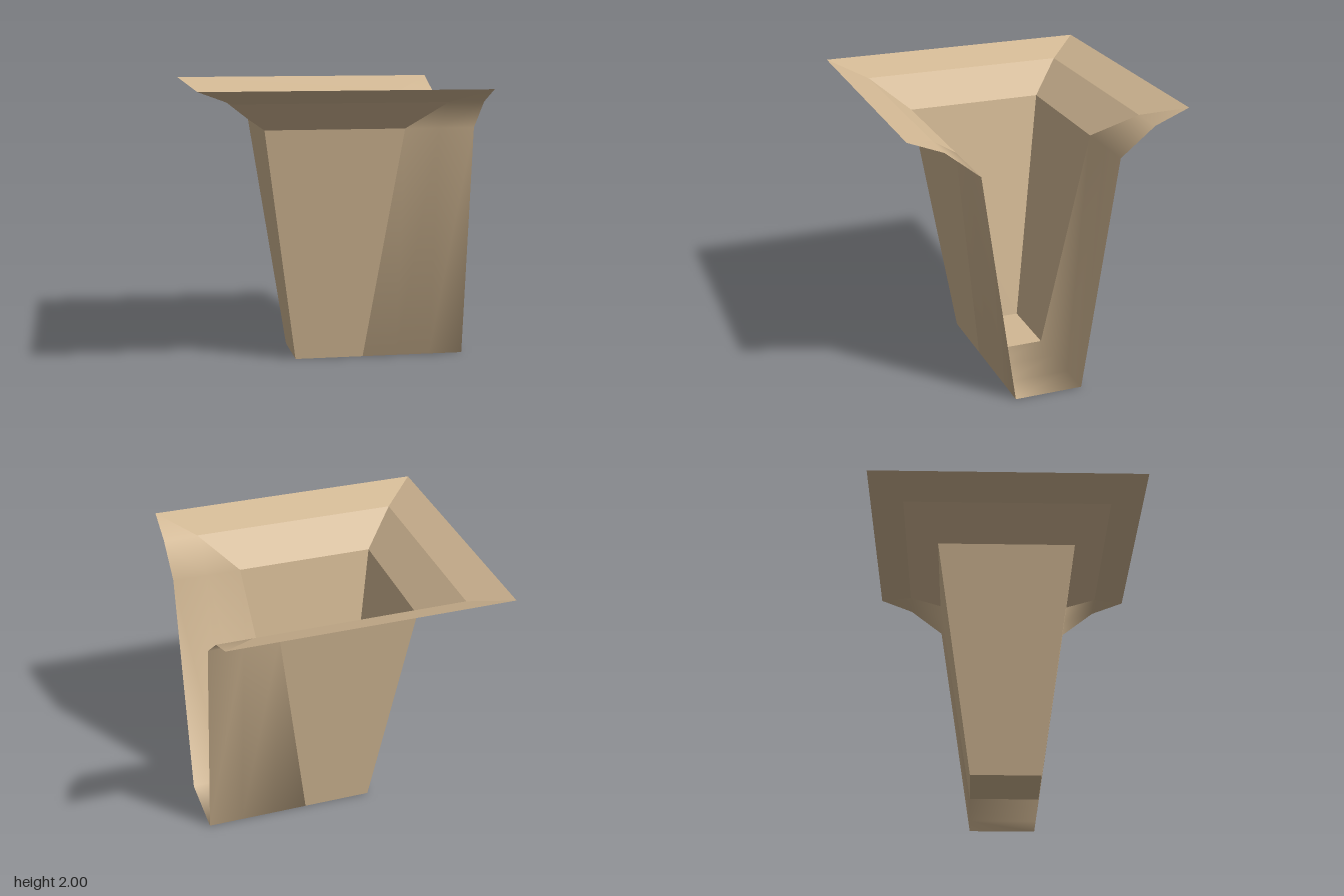
import * as THREE from 'three';
import { mergeVertices } from 'three/addons/utils/BufferGeometryUtils.js';

// Half-width and height of the flared profile, from floor to rim
const PROFILE = [[0.25, 0], [0.5, 1.7], [0.75, 1.9], [1, 2]];

// Triangulated sheet through rows of points (each row the same length)
function sheet(rows) {
  const positions = [];
  for (let i = 0; i < rows.length - 1; i++) {
    for (let j = 0; j < rows[i].length - 1; j++) {
      const a = rows[i][j], b = rows[i][j + 1], c = rows[i + 1][j + 1], d = rows[i + 1][j];
      positions.push(...a, ...b, ...c, ...a, ...c, ...d);
    }
  }
  const geometry = new THREE.BufferGeometry();
  geometry.setAttribute('position', new THREE.Float32BufferAttribute(positions, 3));
  return geometry;
}

export function createModel() {
  const group = new THREE.Group();
  const tan = new THREE.MeshStandardMaterial({ color: 0xd2b894, side: THREE.DoubleSide });
  tan.name = 'tan';

  const add = (name, geometry) => {
    geometry.computeVertexNormals();
    const mesh = new THREE.Mesh(geometry, tan);
    mesh.name = name;
    group.add(mesh);
    return mesh;
  };

  // Three flat-faced flared walls: front, closed side and back
  const wall = () => sheet(PROFILE.map(([r, y]) => [[-r, y, r], [r, y, r]]));
  add('frontWall', wall());
  add('sideWall', wall().rotateY(-Math.PI / 2));
  add('backWall', wall().rotateY(Math.PI));

  // Square floor
  add('floor', sheet([[[-0.25, 0, 0.25], [0.25, 0, 0.25]], [[-0.25, 0, -0.25], [0.25, 0, -0.25]]]));

  // Smooth open channel running from the mitred corners out to the open side
  const section = [
    ...[...PROFILE].reverse().map(([r, y]) => [r, y, -r]),
    ...PROFILE.map(([r, y]) => [r, y, r]),
  ];
  const columns = [0.25, 0.5, 0.75, 1];
  const rows = section.map(([r, y, z]) => columns.map((x) => [Math.max(x, r), y, z]));
  add('openChannel', mergeVertices(sheet(rows)));

  return group;
}
